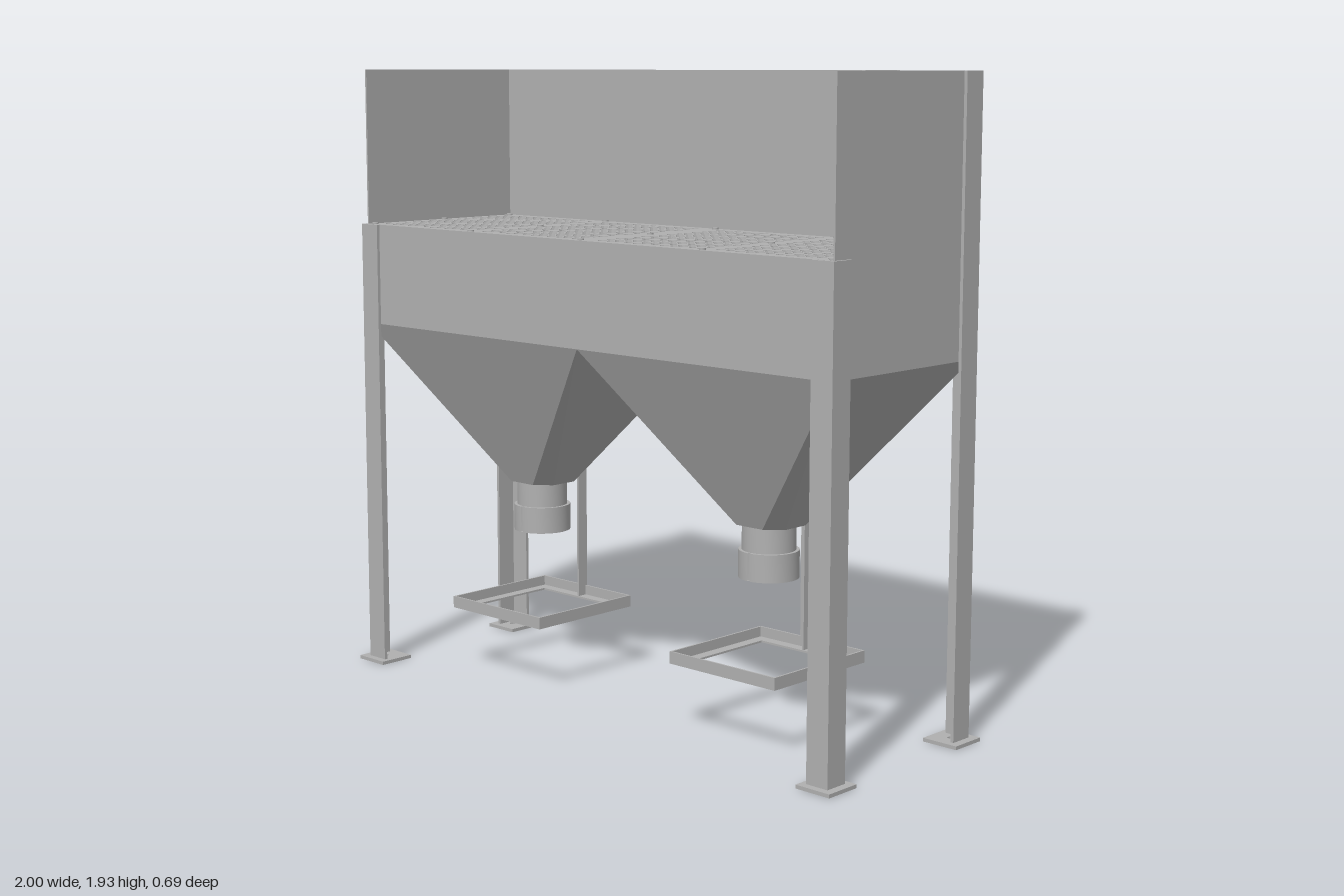
import * as THREE from 'three';
import { toCreasedNormals } from 'three/addons/utils/BufferGeometryUtils.js';

const steel = new THREE.MeshStandardMaterial({ color: 0xb0b0b0, side: THREE.DoubleSide });
steel.name = 'galvanised steel';

const HX = 0.965, HZ = 0.31;   // half width and depth of the bin
const RIM = 1.44, TOP = 1.93, SEAM = 1.12, NECK = 0.625;
const CX = HX / 2;             // centre of each hopper

function add(parent, name, geometry, x = 0, y = 0, z = 0) {
  const mesh = new THREE.Mesh(geometry, steel);
  mesh.name = name;
  mesh.position.set(x, y, z);
  parent.add(mesh);
  return mesh;
}

// Box given by its limits on each axis
function slab(parent, name, x0, x1, y0, y1, z0, z1) {
  return add(parent, name, new THREE.BoxGeometry(x1 - x0, y1 - y0, z1 - z0),
    (x0 + x1) / 2, (y0 + y1) / 2, (z0 + z1) / 2);
}

function rectangle(w, d) {
  return new THREE.Shape([[-w, -d], [w, -d], [w, d], [-w, d]].map(p => new THREE.Vector2(...p)));
}

function roundHole(shape, x, z, r) {
  shape.holes.push(new THREE.Path().absarc(x, z, r, 0, Math.PI * 2, true));
}

// Flat horizontal plate cut from a shape, standing on y = 0
function plate(shape, depth, curveSegments = 6) {
  return new THREE.ExtrudeGeometry(shape, { depth, bevelEnabled: false, curveSegments }).rotateX(-Math.PI / 2);
}

// Octagonal mouth at the foot of a hopper, two points for each corner
const corners = [[1, 1], [1, -1], [-1, -1], [-1, 1]];
const mouth = corners.map(([sx, sz], i) => {
  const pair = [[sx * 0.05, sz * 0.088], [sx * 0.1, sz * 0.045]];
  return i % 2 ? pair.reverse() : pair;
});

// Tapering sheet hopper from a rectangle to the octagonal mouth
function hopperGeometry() {
  const pos = [];
  const rim = i => [corners[i][0] * CX, SEAM, corners[i][1] * HZ];
  const foot = p => [p[0], NECK, p[1]];
  for (let i = 0; i < 4; i++) {
    const j = (i + 1) % 4;
    const a = rim(i), b = foot(mouth[i][1]), c = foot(mouth[j][0]), d = rim(j);
    pos.push(...a, ...foot(mouth[i][0]), ...b);
    pos.push(...a, ...b, ...c, ...a, ...c, ...d);
  }
  const g = new THREE.BufferGeometry();
  g.setAttribute('position', new THREE.Float32BufferAttribute(pos, 3));
  g.computeVertexNormals();
  return g;
}

function lathe(points, start = 0, length = Math.PI * 2) {
  const g = new THREE.LatheGeometry(points.map(p => new THREE.Vector2(...p)), 40, start, length);
  return toCreasedNormals(g, 0.6);
}

// One hopper with its outlet and the bag support below it
function makeHopper(x) {
  const g = new THREE.Group();
  g.name = 'hopper';
  g.position.x = x;
  add(g, 'hopperCone', hopperGeometry());

  const flange = new THREE.Shape(mouth.flat().map(p => new THREE.Vector2(p[0], -p[1])));
  roundHole(flange, 0, 0, 0.078);
  add(g, 'outletFlange', new THREE.ShapeGeometry(flange, 20).rotateX(-Math.PI / 2), 0, NECK, 0);
  add(g, 'outletPipe', lathe([[0.08, 0.52], [0.08, NECK], [0.076, NECK], [0.076, 0.52], [0.08, 0.52]]));
  // collar split by a narrow slot at the front
  add(g, 'outletCollar', lathe([[0.09, 0.465], [0.09, 0.548], [0.08, 0.548], [0.08, 0.465], [0.09, 0.465]],
    0.04, Math.PI * 2 - 0.08));

  // Angle-iron support frame: flat ring with upright walls
  const ring = rectangle(0.203, 0.203);
  ring.holes.push(rectangle(0.163, 0.163));
  add(g, 'supportRing', plate(ring, 0.006), 0, 0.204, 0.004);
  const wall = rectangle(0.203, 0.203);
  wall.holes.push(rectangle(0.197, 0.197));
  add(g, 'supportWall', plate(wall, 0.037), 0, 0.204, 0.004);

  // Angle-iron hanger, cut to the slope of the hopper
  const slope = z => NECK + (z - 0.088) / (HZ - 0.088) * (SEAM - NECK);
  slab(g, 'hangerBack', -0.04, 0, 0.204, slope(0.194), -0.2, -0.194);
  const side = new THREE.Shape([[-0.2, 0.204], [-0.162, 0.204], [-0.162, slope(0.162)], [-0.2, slope(0.2)]]
    .map(p => new THREE.Vector2(...p)));
  const sideGeo = new THREE.ExtrudeGeometry(side, { depth: 0.006, bevelEnabled: false });
  sideGeo.rotateY(-Math.PI / 2);
  add(g, 'hangerSide', sideGeo);
  return g;
}

// L-section leg with a drilled foot plate
function makeLeg(sx, sz) {
  const g = new THREE.Group();
  g.name = sz > 0 ? 'frontLeg' : 'rearLeg';
  const height = (sz > 0 ? RIM : TOP) - 0.01;
  const ell = new THREE.Shape([[0, 0], [-0.075, 0], [-0.075, -0.01], [-0.01, -0.01], [-0.01, -0.075], [0, -0.075]]
    .map(([x, z]) => new THREE.Vector2(sx * (0.975 + x), -sz * (0.323 + z))));
  add(g, 'legAngle', plate(ell, height), 0, 0.01, 0);
  const foot = rectangle(0.059, 0.059);
  roundHole(foot, 0, 0, 0.012);
  add(g, 'footPlate', plate(foot, 0.011), sx * 0.941, 0, sz * 0.287);
  return g;
}

export function createModel() {
  const model = new THREE.Group();
  model.name = 'doubleHopper';

  // Bin walls, low at the front
  const t = 0.006;
  slab(model, 'backWall', -HX, HX, SEAM, TOP, -HZ - 0.003, -HZ - 0.003 + t);
  slab(model, 'frontWall', -HX, HX, SEAM, RIM, HZ - t, HZ);
  slab(model, 'leftWall', HX - t, HX, SEAM, TOP, -HZ, HZ - 0.003);
  slab(model, 'rightWall', -HX, -HX + t, SEAM, TOP, -HZ, HZ - 0.003);

  // Perforated grate in four fields
  const grate = rectangle(HX - 0.003, HZ - 0.001);
  for (const cx of [-0.717, -0.251, 0.251, 0.717])
    for (let i = 0; i < 12; i++)
      for (let j = 0; j < 15; j++)
        roundHole(grate, cx + (i - 5.5) * 0.0359, (j - 7) * 0.0367, 0.0135);
  add(model, 'grate', plate(grate, 0.008, 5), 0, RIM - 0.008, 0);

  // Screws along the edges and middle of the grate
  const screw = new THREE.CylinderGeometry(0.01, 0.01, 0.008, 12);
  for (const x of [-0.945, -CX, 0, CX, 0.945])
    for (const z of [-0.292, 0, 0.292])
      add(model, 'grateScrew', screw, x, RIM + 0.001, z);

  for (const s of [-1, 1]) {
    model.add(makeHopper(s * CX));
    for (const sz of [-1, 1]) model.add(makeLeg(s, sz));
  }
  return model;
}
